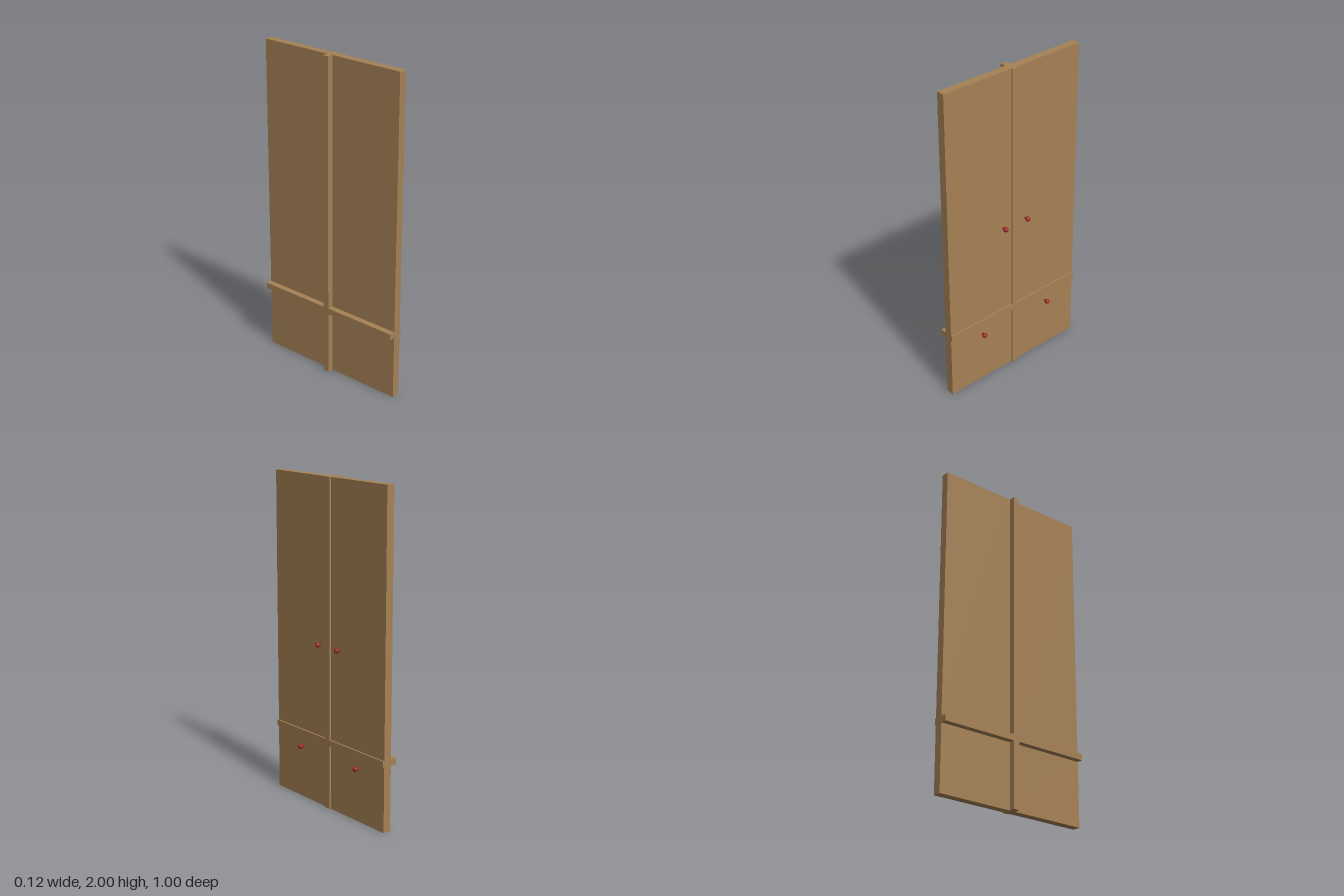
import * as THREE from 'three';

export function createModel() {
  const model = new THREE.Group();
  const wood = new THREE.MeshStandardMaterial({ color: 0xa78256 });
  wood.name = 'wood';
  const red = new THREE.MeshStandardMaterial({ color: 0xa02828 });
  red.name = 'knobRed';

  const height = 2, halfWidth = 0.5, half = 0.019; // half = half the frame bar width
  const railLow = 0.4, railHigh = 0.438;

  // Box given by its limits on each axis
  function slab(name, [x0, x1], [y0, y1], [z0, z1]) {
    const mesh = new THREE.Mesh(new THREE.BoxGeometry(x1 - x0, y1 - y0, z1 - z0), wood);
    mesh.position.set((x0 + x1) / 2, (y0 + y1) / 2, (z0 + z1) / 2);
    mesh.name = name;
    model.add(mesh);
  }

  // Cross-shaped frame, deeper than the doors on both faces
  const frameX = [-0.061, 0.037], panelX = [-0.023, 0.027];
  slab('centrePost', frameX, [0, height], [-half, half]);

  // Rails, upper doors and lower doors on both sides of the post
  for (const side of [-1, 1]) {
    const z = side > 0 ? [half, halfWidth] : [-halfWidth, -half];
    slab('rail', frameX, [railLow, railHigh], z);
    slab('upperDoor', panelX, [railHigh, height], z);
    slab('lowerDoor', panelX, [0, railLow], z);
  }

  // Knob profile: flared foot, narrow neck, rounded head (radius, distance from door)
  const profile = [
    [0, 0], [0.009, 0], [0.006, 0.004], [0.006, 0.008], [0.012, 0.010],
    [0.0155, 0.016], [0.0155, 0.022], [0.012, 0.029], [0.006, 0.033], [0, 0.034],
  ].map(([r, d]) => new THREE.Vector2(r, d));
  const knobGeometry = new THREE.LatheGeometry(profile, 16);
  knobGeometry.rotateZ(-Math.PI / 2);

  for (const [name, y, z] of [
    ['upperKnob', 1.005, 0.08], ['upperKnob', 1.005, -0.095],
    ['lowerKnob', 0.328, 0.253], ['lowerKnob', 0.328, -0.268],
  ]) {
    const knob = new THREE.Mesh(knobGeometry, red);
    knob.position.set(panelX[1], y, z);
    knob.name = name;
    model.add(knob);
  }
  return model;
}
